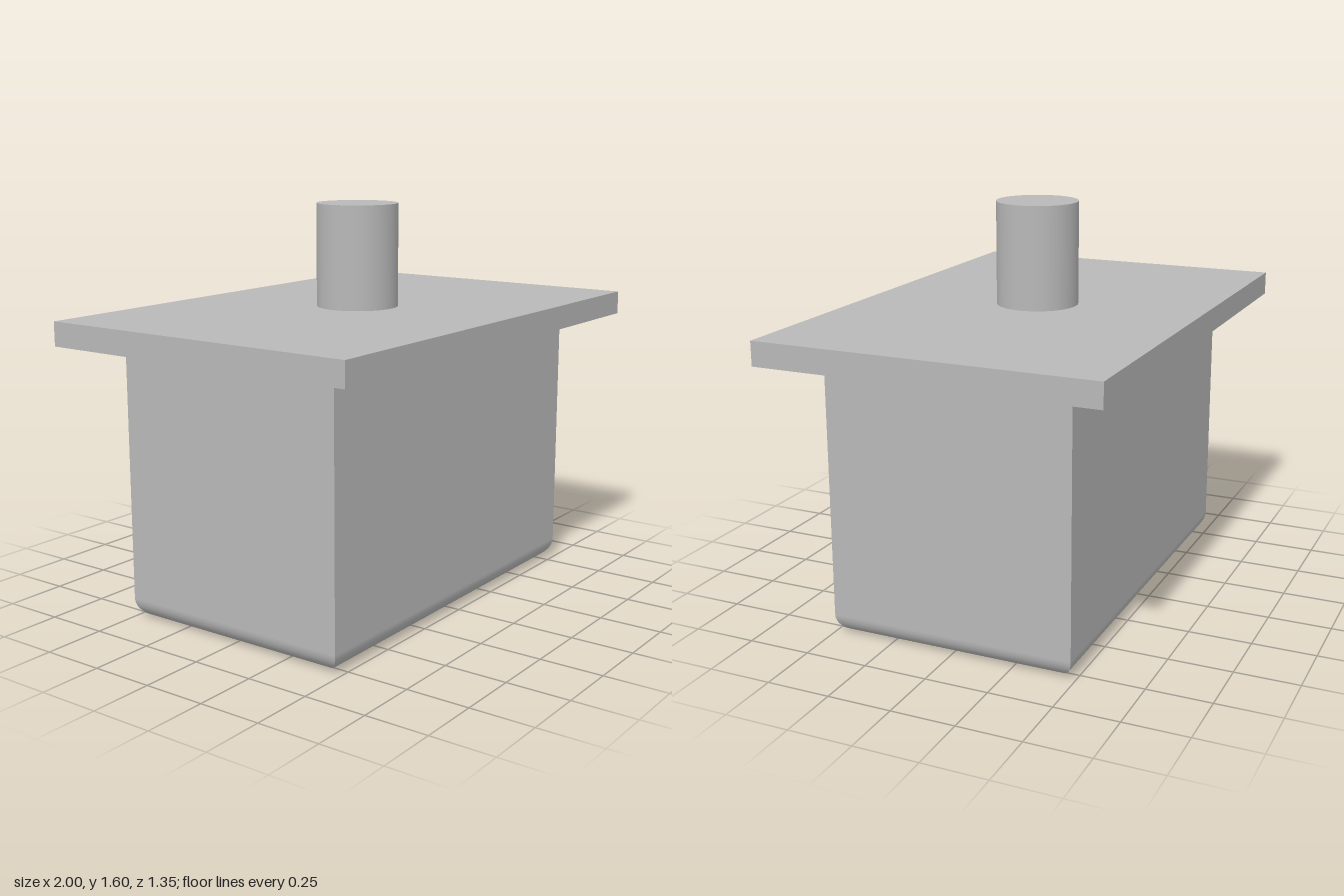
import * as THREE from 'three';

// Box whose sides curve under to the base, mitred at sharp vertical corners
function roundedBaseTub(halfX, halfZ, height, radius, steps = 10) {
  const profile = []; // inset, y, outward part and downward part of the normal
  for (let i = 0; i <= steps; i++) {
    const a = (i / steps) * Math.PI / 2;
    profile.push([radius * (1 - Math.sin(a)), radius * (1 - Math.cos(a)), Math.sin(a), -Math.cos(a)]);
  }
  profile.push([0, height, 1, 0]);
  const corners = [[-1, 1], [1, 1], [1, -1], [-1, -1]];
  const outward = [[0, 1], [1, 0], [0, -1], [-1, 0]];
  const pos = [], nor = [], idx = [];
  // Four walls, each a strip following the profile
  for (let s = 0; s < 4; s++) {
    const start = pos.length / 3;
    for (const [inset, y, out, down] of profile) {
      for (const c of [corners[s], corners[(s + 1) % 4]]) {
        pos.push(c[0] * (halfX - inset), y, c[1] * (halfZ - inset));
        nor.push(outward[s][0] * out, down, outward[s][1] * out);
      }
    }
    for (let i = 0; i < profile.length - 1; i++) {
      const a = start + i * 2;
      idx.push(a, a + 1, a + 3, a, a + 3, a + 2);
    }
  }
  // Flat base and top
  for (const [y, inset, ny] of [[0, radius, -1], [height, 0, 1]]) {
    const b = pos.length / 3;
    for (const c of corners) {
      pos.push(c[0] * (halfX - inset), y, c[1] * (halfZ - inset));
      nor.push(0, ny, 0);
    }
    if (ny < 0) idx.push(b, b + 2, b + 1, b, b + 3, b + 2);
    else idx.push(b, b + 1, b + 2, b, b + 2, b + 3);
  }
  const g = new THREE.BufferGeometry();
  g.setAttribute('position', new THREE.Float32BufferAttribute(pos, 3));
  g.setAttribute('normal', new THREE.Float32BufferAttribute(nor, 3));
  g.setIndex(idx);
  return g;
}

export function createModel() {
  const group = new THREE.Group();
  const grey = new THREE.MeshStandardMaterial({ color: 0xb8b8b8 });
  grey.name = 'plain grey';
  const add = (name, geometry, y) => {
    const mesh = new THREE.Mesh(geometry, grey);
    mesh.name = name;
    mesh.position.y = y;
    group.add(mesh);
  };

  const bodyTop = 1.09, plateTop = 1.185, postTop = 1.595;
  add('body', roundedBaseTub(0.815, 0.49, bodyTop, 0.08), 0);
  add('flangePlate', new THREE.BoxGeometry(2, plateTop - bodyTop, 1.345), (bodyTop + plateTop) / 2);
  add('post', new THREE.CylinderGeometry(0.163, 0.163, postTop - plateTop, 64), (plateTop + postTop) / 2);
  return group;
}
